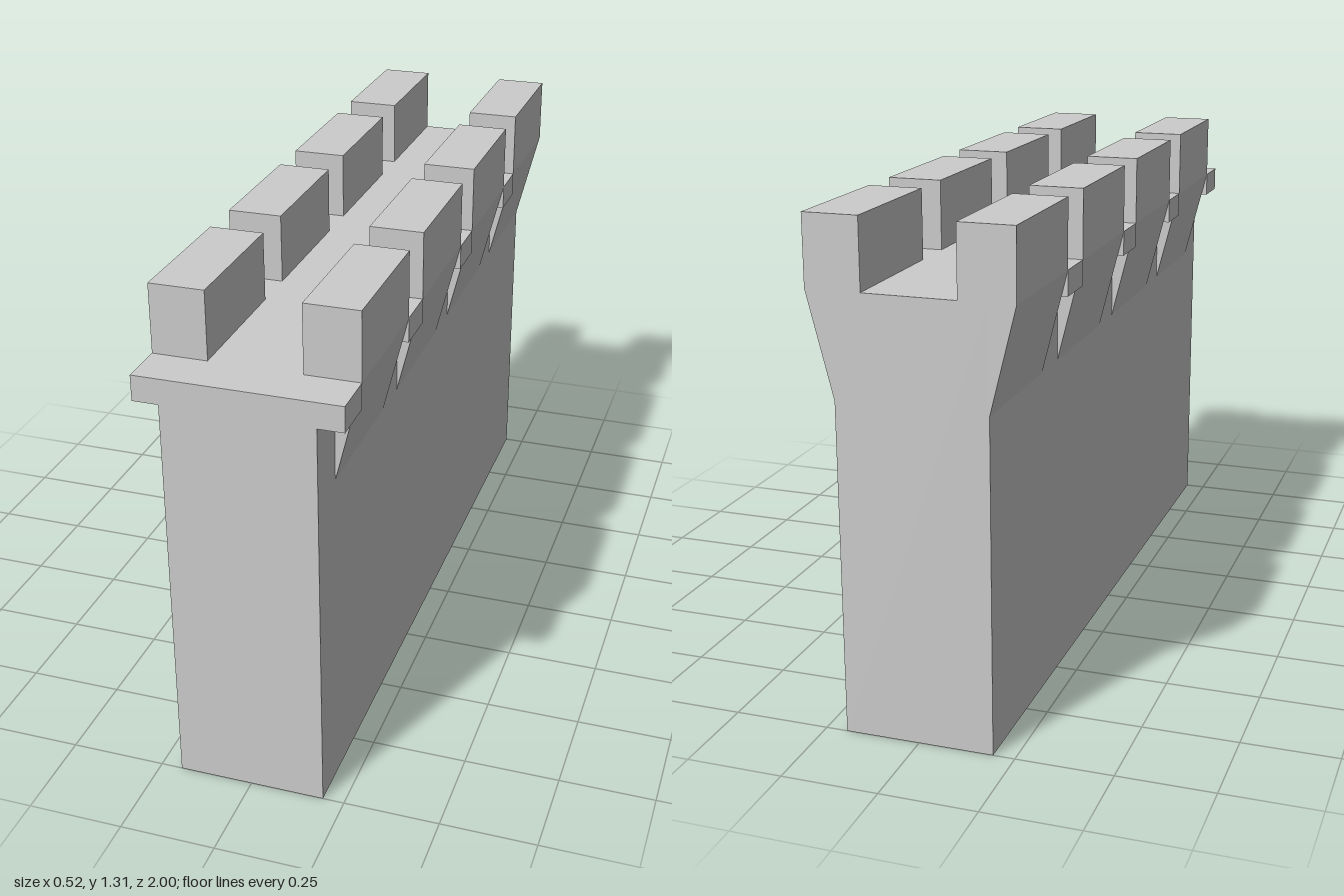
import * as THREE from 'three';

export function createModel() {
  const model = new THREE.Group();
  const material = new THREE.MeshStandardMaterial({ color: 0xcccccc, flatShading: true, side: THREE.DoubleSide });

  const WALL = 0.194, LEDGE = 0.261, INNER = 0.119; // half widths
  const DECK = 1.13, TOP = 1.31;
  const PITCH = 0.5, GAP = 0.123, MERLON = PITCH - GAP;

  function add(geometry, name, x, y, z) {
    const mesh = new THREE.Mesh(geometry, material);
    mesh.name = name;
    mesh.position.set(x, y, z);
    model.add(mesh);
    return mesh;
  }

  // Wall: hollow shell, open underneath
  const wall = new THREE.BoxGeometry(WALL * 2, DECK, 2);
  const index = Array.from(wall.index.array);
  index.splice(18, 6); // drop the bottom face
  wall.setIndex(index);
  wall.clearGroups();
  add(wall, 'wall', 0, DECK / 2, 0);

  // Merlon and its sloping corbel share one profile
  const profile = new THREE.Shape([
    [WALL, 0.863], [LEDGE, DECK], [LEDGE, TOP], [INNER, TOP], [INNER, DECK], [WALL, DECK],
  ].map(([x, y]) => new THREE.Vector2(x, y)));
  const merlon = new THREE.ExtrudeGeometry(profile, { depth: MERLON, bevelEnabled: false });
  merlon.translate(0, 0, -MERLON / 2);

  // Ledge fills the gap after each merlon
  const ledge = new THREE.BoxGeometry(LEDGE - WALL, DECK - 1.063, GAP);

  for (const [side, label] of [[1, 'left'], [-1, 'right']]) {
    for (let i = 0; i < 4; i++) {
      const z = -1 + i * PITCH;
      const block = add(merlon, `${label}Merlon${i + 1}`, 0, 0, z + MERLON / 2);
      if (side < 0) block.rotation.y = Math.PI;
      add(ledge, `${label}Ledge${i + 1}`, side * (WALL + LEDGE) / 2, (DECK + 1.063) / 2, z + MERLON + GAP / 2);
    }
  }
  return model;
}
